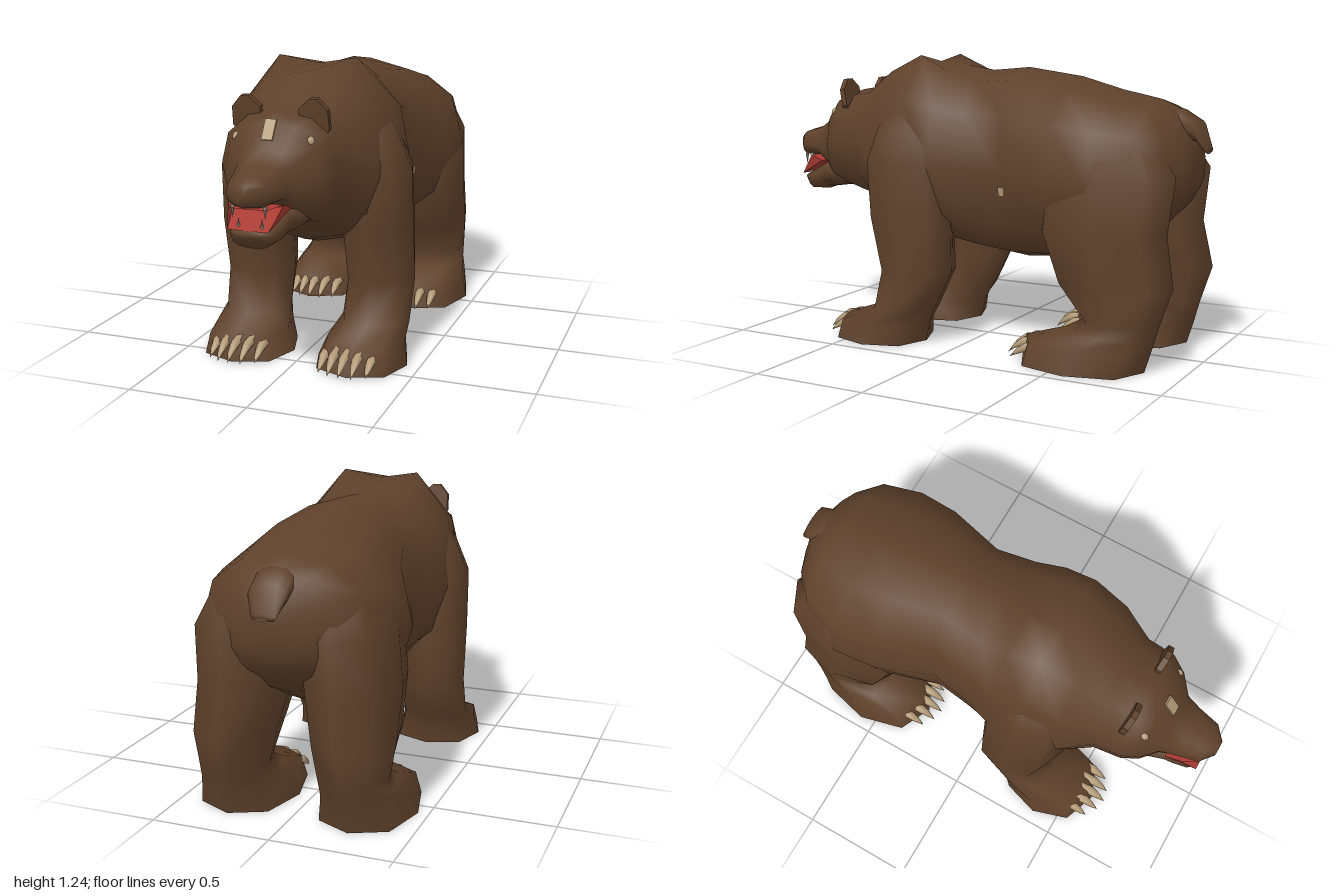
import * as THREE from 'three';

const mat = (name, color, side = THREE.FrontSide) => {
  const m = new THREE.MeshStandardMaterial({ color, side });
  m.name = name;
  return m;
};

// Skin a list of equal-sized rings, closing both ends; flatEnd gives the last cap a hard edge.
function loft(rings, flatEnd = false) {
  const n = rings[0].length, pos = [], idx = [];
  const add = (p) => pos.push(p.x, p.y, p.z) / 3 - 1;
  const centre = (r) => r.reduce((s, p) => s.add(p), new THREE.Vector3()).divideScalar(n);
  rings.forEach((r) => r.forEach(add));
  for (let i = 0; i < rings.length - 1; i++) {
    for (let k = 0; k < n; k++) {
      const a = i * n + k, b = i * n + (k + 1) % n;
      idx.push(a, b, a + n, b, b + n, a + n);
    }
  }
  const last = rings[rings.length - 1];
  let end = (rings.length - 1) * n;
  if (flatEnd) {
    end = pos.length / 3;
    last.forEach(add);
  }
  const c0 = add(centre(rings[0])), c1 = add(centre(last));
  for (let k = 0; k < n; k++) {
    const j = (k + 1) % n;
    idx.push(c0, j, k, c1, end + k, end + j);
  }
  // Turn the faces outward when the signed volume is negative
  const v = (i) => new THREE.Vector3().fromArray(pos, i * 3);
  let volume = 0;
  for (let i = 0; i < idx.length; i += 3) volume += v(idx[i]).dot(v(idx[i + 1]).cross(v(idx[i + 2])));
  if (volume < 0) idx.reverse();
  const g = new THREE.BufferGeometry();
  g.setAttribute('position', new THREE.Float32BufferAttribute(pos, 3));
  g.setIndex(idx);
  g.computeVertexNormals();
  return g;
}

const soft = (t, p) => Math.sign(t) * Math.abs(t) ** p;

// Cross-section facing along z: [z, top, bottom, halfWidth, widestY, spine dip, side roundness]
function section([z, top, bot, w, mid = (top + bot) / 2, dip = 0, q = 1]) {
  return Array.from({ length: 12 }, (_, k) => {
    const a = k / 12 * Math.PI * 2, c = soft(Math.cos(a), 0.85);
    const y = mid + c * (c > 0 ? top - mid : mid - bot) - (k === 0 ? dip : 0);
    return new THREE.Vector3(w * soft(Math.sin(a), q), y, z);
  });
}

// Eight-sided horizontal leg section: [y, backZ, frontZ, innerX, outerX], mirrored by side
function legSection([y, z0, z1, x0, x1], side) {
  return Array.from({ length: 8 }, (_, k) => {
    const a = k / 8 * Math.PI * 2;
    return new THREE.Vector3(
      side * ((x0 + x1) / 2 + (x1 - x0) / 2 * soft(Math.sin(a), 0.85)), y,
      (z0 + z1) / 2 + (z1 - z0) / 2 * soft(Math.cos(a), 0.85));
  });
}

export function createModel() {
  const fur = mat('brown fur', 0x5e412b);
  const horn = mat('tan claw', 0xb59c78);
  const red = mat('red mouth', 0xa83a32, THREE.DoubleSide);
  const ivory = mat('grey tooth', 0x9a8f80);
  const bear = new THREE.Group();
  bear.name = 'bear';
  const part = (name, geometry, material, parent = bear) => {
    const m = new THREE.Mesh(geometry, material);
    m.name = name;
    parent.add(m);
    return m;
  };

  // Rump, torso, neck, skull and muzzle in one skin
  part('body', loft([
    [-0.945, 0.94, 0.7, 0.13, 0.8],
    [-0.89, 1.03, 0.62, 0.25, 0.8],
    [-0.8, 1.07, 0.53, 0.355, 0.78],
    [-0.63, 1.105, 0.44, 0.405, 0.75],
    [-0.45, 1.155, 0.39, 0.385, 0.74],
    [-0.2, 1.19, 0.37, 0.292, 0.76, 0, 0.85],
    [-0.03, 1.175, 0.395, 0.325, 0.78, 0, 0.85],
    [0.1, 1.225, 0.42, 0.365, 0.78, 0.03],
    [0.24, 1.3, 0.45, 0.365, 0.77, 0.09, 1.1],
    [0.4, 1.215, 0.5, 0.335, 0.78, 0.025, 1.05],
    [0.54, 1.095, 0.59, 0.25, 0.85, 0, 0.9],
    [0.66, 1.075, 0.628, 0.242, 0.86, 0, 0.9],
    [0.73, 1.05, 0.63, 0.2, 0.83],
    [0.79, 0.955, 0.7, 0.13, 0.81, 0, 0.85],
    [0.855, 0.907, 0.762, 0.112, 0.81, 0, 0.75],
    [0.95, 0.88, 0.76, 0.09, 0.81, 0, 0.75],
    [0.998, 0.858, 0.772, 0.03],
  ].map(section)), fur);

  // Open lower jaw
  part('lowerJaw', loft([
    [0.66, 0.77, 0.635, 0.16, 0.72, 0, 0.8], [0.75, 0.76, 0.625, 0.138, 0.69, 0, 0.8],
    [0.82, 0.742, 0.615, 0.114, 0.69, 0, 0.75], [0.86, 0.722, 0.602, 0.105, 0.67, 0, 0.75],
    [0.92, 0.69, 0.6, 0.09, 0.655, 0, 0.75], [0.955, 0.674, 0.645, 0.06],
  ].map(section)), fur);

  // Red mouth lining: tongue bed, palate and cheeks
  const lining = new THREE.BufferGeometry();
  lining.setAttribute('position', new THREE.Float32BufferAttribute([
    -0.082, 0.676, 0.958, 0.082, 0.676, 0.958, -0.118, 0.745, 0.82, 0.118, 0.745, 0.82,
    -0.112, 0.768, 0.885, 0.112, 0.768, 0.885, -0.075, 0.757, 0.955, 0.075, 0.757, 0.955], 3));
  lining.setIndex([0, 1, 3, 0, 3, 2, 2, 3, 5, 2, 5, 4, 4, 5, 7, 4, 7, 6, 0, 2, 4, 1, 5, 3]);
  const flatLining = lining.toNonIndexed();
  flatLining.computeVertexNormals();
  part('mouthLining', flatLining, red);

  // Tail
  part('tail', loft([
    [-0.82, 1.04, 0.96, 0.08], [-0.89, 1.034, 0.93, 0.085],
    [-0.962, 0.99, 0.9, 0.08], [-1, 0.885, 0.857, 0.05],
  ].map(section)), fur);

  // Forehead patch and flank fleck
  const patch = part('foreheadPatch', new THREE.BoxGeometry(0.045, 0.085, 0.008), horn);
  patch.position.set(0, 1.018, 0.752);
  patch.rotation.x = -0.56;
  const fleck = part('flankFleck', new THREE.BoxGeometry(0.008, 0.035, 0.025), horn);
  fleck.position.set(0.283, 0.687, -0.21);
  fleck.rotation.z = -0.157;

  const frontLeg = [
    [1.04, 0.12, 0.36, 0.1, 0.3], [0.92, 0.09, 0.41, 0.1, 0.36], [0.79, 0.06, 0.44, 0.1, 0.415],
    [0.55, 0.04, 0.42, 0.12, 0.418], [0.32, 0.035, 0.36, 0.125, 0.418], [0.15, 0.125, 0.395, 0.12, 0.415],
    [0.085, 0.155, 0.58, 0.09, 0.425], [0, 0.175, 0.6, 0.055, 0.445],
  ];
  const hindLeg = [
    [0.95, -0.82, -0.52, 0.1, 0.32], [0.78, -0.94, -0.39, 0.03, 0.4], [0.55, -0.912, -0.37, 0.04, 0.412],
    [0.35, -0.95, -0.45, 0.09, 0.408], [0.2, -0.9, -0.59, 0.11, 0.395], [0.15, -0.885, -0.5, 0.105, 0.405],
    [0.095, -0.87, -0.32, 0.085, 0.43], [0, -0.84, -0.3, 0.06, 0.455],
  ];

  // Ear outline, centred on its thickness
  const earShape = new THREE.Shape([
    [-0.04, -0.04], [0.03, -0.05], [0.06, -0.01], [0.058, 0.065], [0.018, 0.11], [-0.015, 0.11],
    [-0.06, 0.07], [-0.06, 0.03],
  ].map(([x, y]) => new THREE.Vector2(x, y)));
  const earGeo = new THREE.ExtrudeGeometry(earShape, { depth: 0.025, bevelEnabled: false });
  earGeo.translate(0, 0, -0.0125);

  for (const side of [1, -1]) {
    const label = side > 0 ? 'left' : 'right';

    // Legs with five curved claws each
    for (const [kind, rows, toe] of [['Front', frontLeg, 0.575], ['Hind', hindLeg, -0.325]]) {
      const leg = new THREE.Group();
      leg.name = `${label}${kind}Leg`;
      bear.add(leg);
      part('leg', loft(rows.map((r) => legSection(r, side)), true), fur, leg);
      for (let i = 0; i < 5; i++) {
        const bend = (i - 2) ** 2;
        const x = side * (0.14 + i * 0.05), z = toe - 0.011 * bend, drop = 0.003 * bend;
        const rings = [[-0.06, 0.082, 0.021], [0.015, 0.073, 0.021], [0.055, 0.05, 0.013], [0.085, 0.02, 0.001]]
          .map(([dz, y, r]) => Array.from({ length: 6 }, (_, k) => new THREE.Vector3(
            x + r * Math.cos(k * Math.PI / 3), Math.max(y - drop, 0.015) + r * Math.sin(k * Math.PI / 3), z + dz)));
        part('claw', loft(rings), horn, leg);
      }
    }

    // Ear, tipped forward
    const ear = part(`${label}Ear`, earGeo, fur);
    ear.position.set(side * 0.14, 1.02, 0.63);
    ear.rotation.set(0.17, side > 0 ? 0 : Math.PI, 0);

    // Eye
    const eye = part(`${label}Eye`, new THREE.SphereGeometry(0.02, 8, 6), horn);
    eye.position.set(side * 0.153, 0.974, 0.712);
    eye.scale.set(0.8, 1.1, 1);

    // Fangs
    const upper = part(`${label}UpperFang`, new THREE.ConeGeometry(0.009, 0.05, 6), ivory);
    upper.position.set(side * 0.065, 0.745, 0.945);
    upper.rotation.x = Math.PI;
    const lower = part(`${label}LowerFang`, new THREE.ConeGeometry(0.01, 0.055, 6), ivory);
    lower.position.set(side * 0.047, 0.695, 0.935);
  }
  return bear;
}
